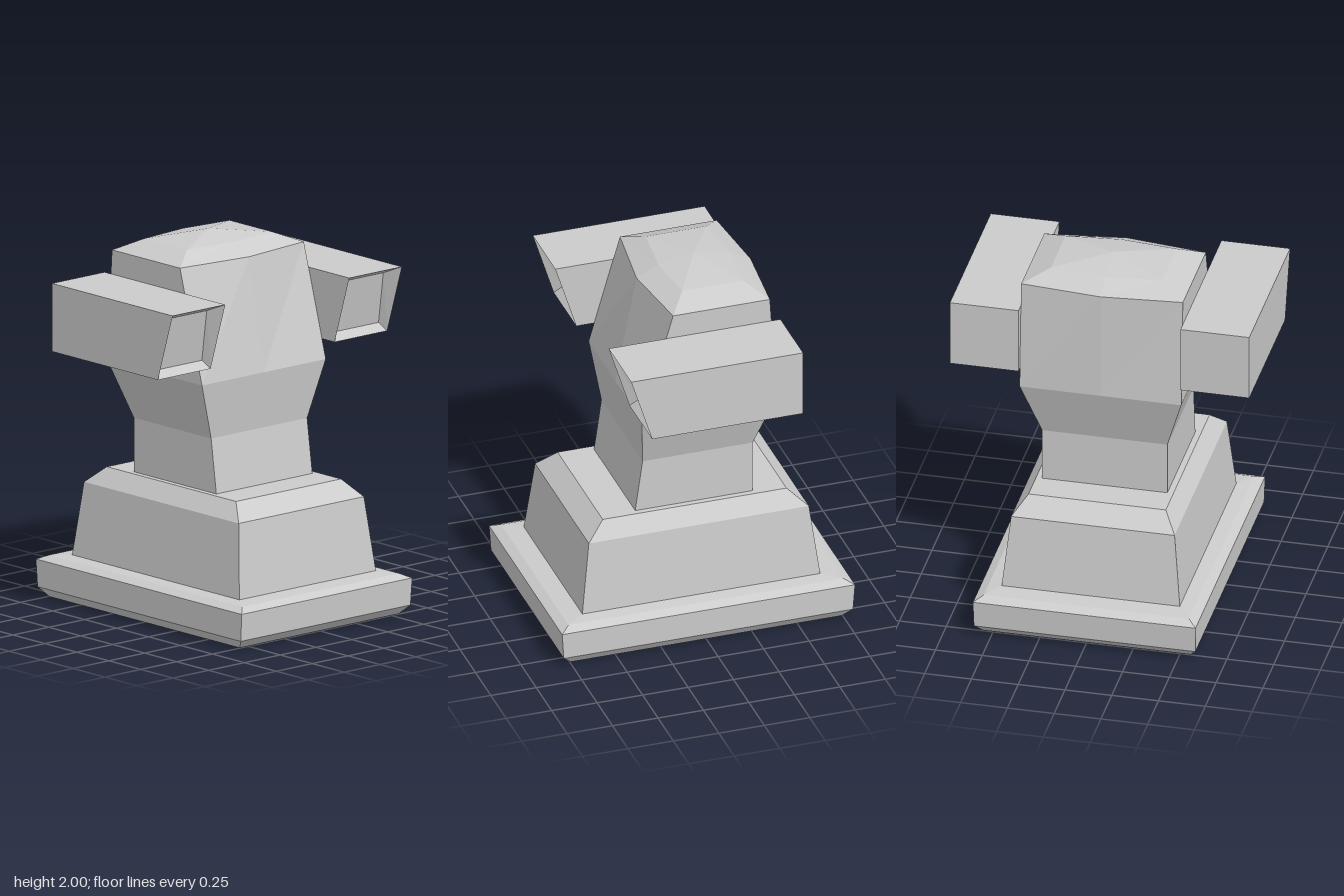
import * as THREE from 'three';

const material = new THREE.MeshStandardMaterial({ color: 0xcccccc, flatShading: true });

// Skin a list of equal-length rings (counter-clockwise seen from the last one) and cap both ends.
function loft(name, rings) {
  const pos = [];
  const tri = (a, b, c) => pos.push(...a, ...b, ...c);
  const n = rings[0].length;
  for (let i = 0; i < rings.length - 1; i++) {
    for (let j = 0; j < n; j++) {
      const k = (j + 1) % n;
      const [a, b, c, d] = [rings[i][j], rings[i][k], rings[i + 1][k], rings[i + 1][j]];
      tri(a, b, c);
      tri(a, c, d);
    }
  }
  const first = rings[0], last = rings[rings.length - 1];
  for (let j = 1; j < n - 1; j++) {
    tri(first[0], first[j + 1], first[j]);
    tri(last[0], last[j], last[j + 1]);
  }
  const geometry = new THREE.BufferGeometry();
  geometry.setAttribute('position', new THREE.Float32BufferAttribute(pos, 3));
  geometry.computeVertexNormals();
  const mesh = new THREE.Mesh(geometry, material);
  mesh.name = name;
  return mesh;
}

// Horizontal rectangle at height y
const rect = (y, x0, x1, z) => [[x1, y, z], [x1, y, -z], [x0, y, -z], [x0, y, z]];

// Horizontal octagon: corners at x0, x1 and bulged side midpoints at m0, m1
const bulged = (y, x0, x1, z, m0 = x0, m1 = x1, zm = z) => [
  [x1, y, z], [m1, y, 0], [x1, y, -z], [-0.12, y, -zm],
  [x0, y, -z], [m0, y, 0], [x0, y, z], [-0.12, y, zm],
];

// Side pod running along x, with a slanted, recessed front end
function pod(name, zHigh, zLow) {
  const bottom = 1.41, top = 1.775;
  const end = (xBottom, xTop, inB = 0, inT = 0, inY = 0) => [
    [xBottom, bottom + inY, zHigh - inB], [xBottom, bottom + inY, zLow + inB],
    [xTop, top - inY, zLow + inT], [xTop, top - inY, zHigh - inT],
  ];
  return loft(name, [
    end(-0.45, -0.45),
    end(0.38, 0.495),
    end(0.34, 0.40, 0.025, 0.045, 0.042),
  ]);
}

export function createModel() {
  const model = new THREE.Group();
  model.name = 'pedestalTurret';

  // Bevelled foot plate
  model.add(loft('footPlate', [
    rect(0, -0.745, 0.745, 0.555),
    rect(0.05, -0.795, 0.795, 0.592),
    rect(0.197, -0.805, 0.805, 0.595),
    rect(0.22, -0.755, 0.755, 0.548),
    rect(0.228, -0.65, 0.65, 0.475),
  ]));

  // Tapered pedestal with chamfered top
  model.add(loft('pedestal', [
    rect(0.22, -0.655, 0.655, 0.477),
    rect(0.622, -0.605, 0.605, 0.437),
    rect(0.71, -0.505, 0.505, 0.367),
  ]));

  // Neck flaring into the head, closed by a shallow faceted dome
  model.add(loft('neckAndHead', [
    bulged(0.70, -0.33, 0.317, 0.335),
    bulged(1.0, -0.33, 0.275, 0.335),
    bulged(1.307, -0.43, 0.312, 0.432),
    bulged(1.905, -0.392, 0.14, 0.432, -0.432, 0.195),
    bulged(1.963, -0.29, 0.045, 0.297, -0.322, 0.075),
    bulged(2.0, -0.12, -0.12, 0),
  ]));

  // Pods on both sides of the head
  model.add(pod('frontPod', 0.80, 0.433));
  model.add(pod('rearPod', -0.433, -0.80));

  return model;
}
